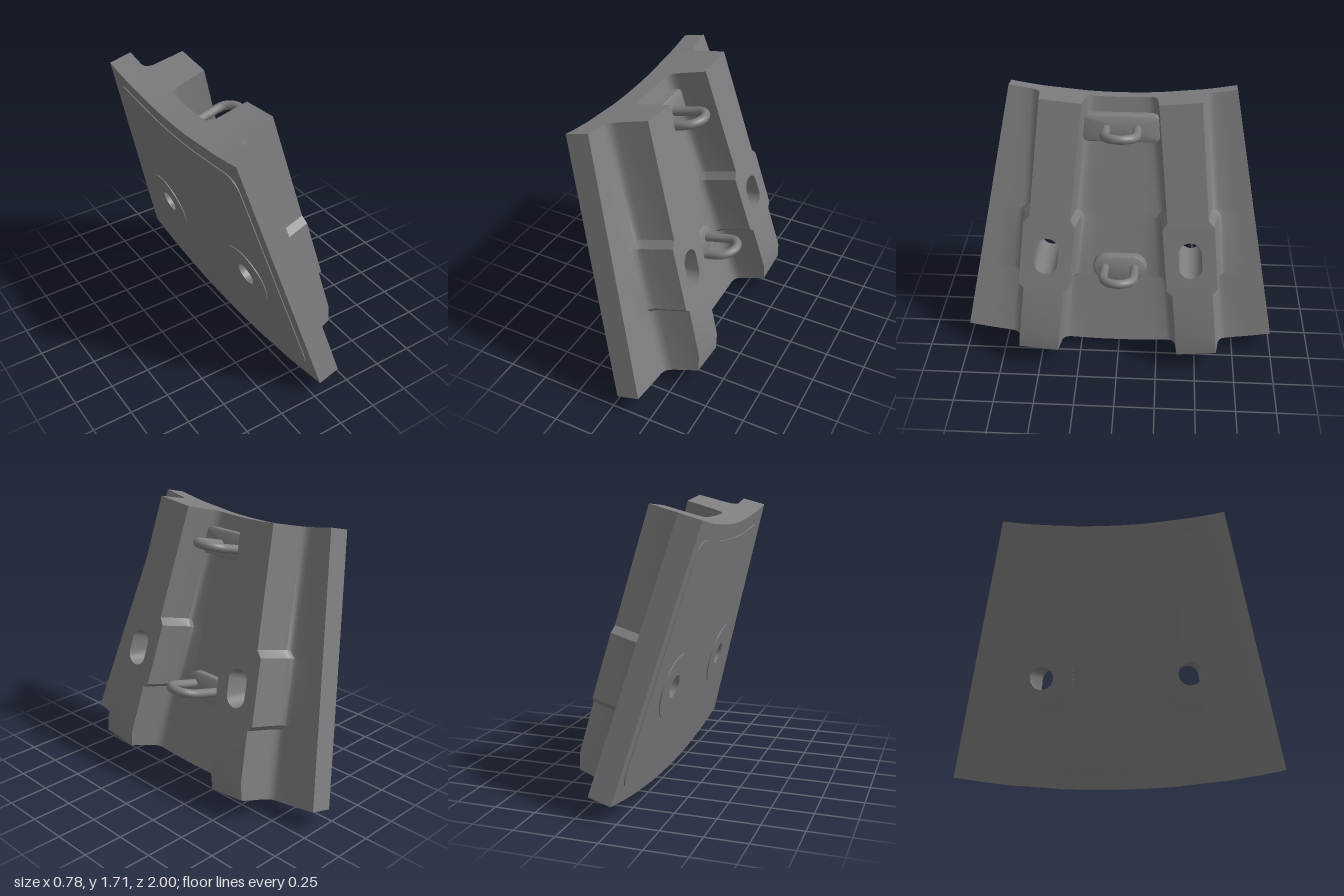
import * as THREE from 'three';
import { toCreasedNormals } from 'three/addons/utils/BufferGeometryUtils.js';

// The slab is a sector of a cone: s runs up the slope, w out of its face, phi around the axis.
const TILT = THREE.MathUtils.degToRad(15), SIN = Math.sin(TILT), COS = Math.cos(TILT);
const AXIS_Y = 5.23, EDGE = 0.1925, RIB = 0.099, LEN = 1.635;
const THICK = 0.145, CREST = 0.4, HOLE_S = 0.66, HOLE_R = 0.072;

const radius = (s, w) => AXIS_Y - s * COS - w * SIN;
function place(s, w, phi) {
  const r = radius(s, w);
  const x = Math.min(0.033 - s * SIN + w * COS, 0.388); // lower rib noses are cut upright
  return new THREE.Vector3(x, AXIS_Y - r * Math.cos(phi), r * Math.sin(phi));
}
const offset = (phi, t, s, w) => place(s, w, phi + t / radius(s, w));

// Triangle collector
class Surface {
  constructor() { this.p = []; }
  tri(...v) { for (const q of v) this.p.push(q.x, q.y, q.z); }
  quad(a, b, c, d) { this.tri(a, b, c); this.tri(a, c, d); }
  // Rows of points; flip reverses the facing
  grid(rows, flip, skip = () => false) {
    for (let i = 0; i + 1 < rows.length; i++)
      for (let j = 0; j + 1 < rows[i].length; j++) {
        if (skip(i, j)) continue;
        const a = rows[i][j], b = rows[i][j + 1], c = rows[i + 1][j + 1], d = rows[i + 1][j];
        flip ? this.quad(a, d, c, b) : this.quad(a, b, c, d);
      }
  }
  // Skin a series of closed loops
  loft(loops) {
    for (let i = 0; i + 1 < loops.length; i++) {
      const a = loops[i], b = loops[i + 1], n = a.length;
      for (let k = 0; k < n; k++) {
        const m = (k + 1) % n;
        this.quad(a[k], a[m], b[m], b[k]);
      }
    }
  }
  geometry(crease = 0.6) {
    const g = new THREE.BufferGeometry();
    g.setAttribute('position', new THREE.Float32BufferAttribute(this.p, 3));
    return toCreasedNormals(g, crease);
  }
}

// Rounded rectangle in (t, s) about a centre
function outline(hz, hs, r, n = 32) {
  return Array.from({ length: n }, (_, k) => {
    const a = ((k + 0.5) / n) * Math.PI * 2, c = Math.cos(a), d = Math.sin(a);
    return new THREE.Vector2(Math.sign(c) * (hz - r) + r * c, Math.sign(d) * (hs - r) + r * d);
  });
}
const loop = (phi, s, hz, hs, r, w) => outline(hz, hs, r).map(q => offset(phi, q.x, s + q.y, w));

// Rib profile from the bay side to the outer side: [t, w]
const RIB_HALF = [[0.125, CREST], [0.142, 0.2], [0.152, 0.172], [0.168, 0.153], [0.195, THICK]];
const RIB_PROFILE = [...RIB_HALF.map(([t, w]) => [-t, w]).reverse(), ...RIB_HALF];
// Stations up the slope with the extra rib half-width
const ROWS = [[0, 0], [0.112, 0], [0.432, 0], [0.462, 0.033], [0.865, 0.033], [0.91, 0], [LEN, 0]];

// One cross-section as [phi, w] pairs, mirrored about the middle
function section(s, widen) {
  const rib = RIB_PROFILE.map(([t, w]) => [RIB + (t + Math.sign(t) * widen) / radius(s, w), w]);
  const a = rib[0][0], b = rib[rib.length - 1][0];
  const half = [[a / 3, THICK], [2 * a / 3, THICK], ...rib, [(b + EDGE) / 2, THICK], [EDGE, THICK]];
  return [...half.map(([p, w]) => [-p, w]).reverse(), [0, THICK], ...half];
}

function slabGeometry() {
  const surf = new Surface();
  const sections = ROWS.map(([s, e]) => section(s, e));
  const front = sections.map((c, i) => c.map(([p, w]) => place(ROWS[i][0], w, p)));
  const back = sections.map((c, i) => c.map(([p]) => place(ROWS[i][0], 0, p)));
  const last = sections[0].length - 1, top = ROWS.length - 1, mid = last / 2;
  // Cells pierced by the bolt holes are filled separately
  const pierced = (i, j) => i === 3 && (j === mid + 7 || j === mid - 8);
  surf.grid(front, true, pierced);
  surf.grid(back, false, pierced);
  // Lower and upper ends, then the two sides
  surf.grid([back[0], front[0]], true);
  surf.grid([front[top], back[top]], true);
  surf.grid(back.map((b, i) => [b[last], front[i][last]]), false);
  surf.grid(back.map((b, i) => [front[i][0], b[0]]), false);
  for (const side of [-1, 1]) {
    // Pierced crest and pierced back patch
    const patch = (w, hs, isFront) => {
      const lo = ROWS[3][0] - HOLE_S, hi = ROWS[4][0] - HOLE_S;
      const edge = (sg, s) => {
        const tCrest = sg * (0.125 + ROWS[3][1]);
        return new THREE.Vector2(tCrest * radius(s + HOLE_S, w) / radius(s + HOLE_S, CREST), s);
      };
      const rect = [edge(-1, lo), edge(1, lo), edge(1, hi), edge(-1, hi)];
      const hole = outline(HOLE_R, hs, HOLE_R).reverse();
      const pts = [...rect, ...hole].map(q => offset(side * RIB, q.x, HOLE_S + q.y, w));
      for (const [a, b, c] of THREE.ShapeUtils.triangulateShape(rect, [hole]))
        isFront ? surf.tri(pts[a], pts[c], pts[b]) : surf.tri(pts[a], pts[b], pts[c]);
    };
    patch(CREST, 0.117, true);
    patch(0, HOLE_R, false);
  }
  return surf.geometry();
}

// Raised collar on the back that runs into the slotted bolt hole
function boltHoleGeometry(side) {
  const surf = new Surface(), phi = side * RIB;
  surf.loft([
    loop(phi, HOLE_S, 0.2, 0.2, 0.2, 0),
    loop(phi, HOLE_S, 0.2, 0.2, 0.2, -0.012),
    loop(phi, HOLE_S, HOLE_R, HOLE_R, HOLE_R, -0.012),
    loop(phi, HOLE_S, HOLE_R, 0.117, HOLE_R, CREST),
  ]);
  return surf.geometry();
}

// Thin panel with rounded corners on the back
function backPanelGeometry() {
  const surf = new Surface(), s0 = 0.09, s1 = 1.54, r = 0.1;
  const corner = [0, 0.15, 0.4, 0.7, 1];
  const levels = [...corner.map(k => s0 + k * r), HOLE_S - 0.13, HOLE_S + 0.13,
    ...corner.map(k => s1 - k * r).reverse()];
  const rows = depth => levels.map(s => {
    const d = Math.max(0, r - Math.min(s - s0, s1 - s));
    const round = r - Math.sqrt(r * r - d * d);
    const rad = radius(s, depth), edge = EDGE - (0.07 + round) / rad;
    const half = [0.035, RIB - 0.13 / rad, RIB + 0.13 / rad, edge];
    return [...half.map(p => -p).reverse(), 0, ...half].map(p => place(s, depth, p));
  });
  const face = rows(-0.006), base = rows(0), n = face[0].length - 1, top = levels.length - 1;
  surf.grid(face, false, (i, j) => i === corner.length && (j === 1 || j === n - 2));
  surf.grid([face[0], base[0]], true);
  surf.grid([base[top], face[top]], true);
  surf.grid(face.map((f, i) => [f[n], base[i][n]]), false);
  surf.grid(face.map((f, i) => [base[i][0], f[0]]), false);
  return surf.geometry();
}

// Raised pad in the bay between the ribs
function padGeometry(s, hz, hs, r, height, bevel) {
  const surf = new Surface();
  surf.loft([
    loop(0, s, 0.001, 0.001, 0.001, height),
    loop(0, s, hz - bevel, hs - bevel, r - bevel * 0.6, height),
    loop(0, s, hz - bevel * 0.3, hs - bevel * 0.3, r, height - bevel * 0.4),
    loop(0, s, hz, hs, r, THICK - 0.01),
  ]);
  return surf.geometry(0.7);
}

// Bent bar lifting loop
function loopGeometry(s) {
  const bend = 0.095, reach = 0.359, pts = [];
  for (const w of [0.14, 0.22, 0.3]) pts.push(offset(0, -bend, s, w));
  for (let k = 0; k <= 10; k++) {
    const a = Math.PI * (1 - k / 10);
    pts.push(offset(0, bend * Math.cos(a), s, reach + bend * Math.sin(a)));
  }
  for (const w of [0.3, 0.22, 0.14]) pts.push(offset(0, bend, s, w));
  return new THREE.TubeGeometry(new THREE.CatmullRomCurve3(pts), 48, 0.028, 12);
}

export function createModel() {
  const group = new THREE.Group();
  const concrete = new THREE.MeshStandardMaterial({ color: 0x7e7e80 });
  concrete.name = 'concrete grey';
  const add = (name, geometry) => {
    const mesh = new THREE.Mesh(geometry, concrete);
    mesh.name = name;
    group.add(mesh);
  };
  add('ribbedSlab', slabGeometry());
  add('backPanel', backPanelGeometry());
  add('leftBoltHole', boltHoleGeometry(1));
  add('rightBoltHole', boltHoleGeometry(-1));
  add('lowerLoopPad', padGeometry(0.53, 0.175, 0.09, 0.089, 0.195, 0.02));
  add('upperLoopPad', padGeometry(1.447, 0.24, 0.09, 0.03, 0.2, 0.02));
  add('lowerLiftingLoop', loopGeometry(0.533));
  add('upperLiftingLoop', loopGeometry(1.445));
  return group;
}
